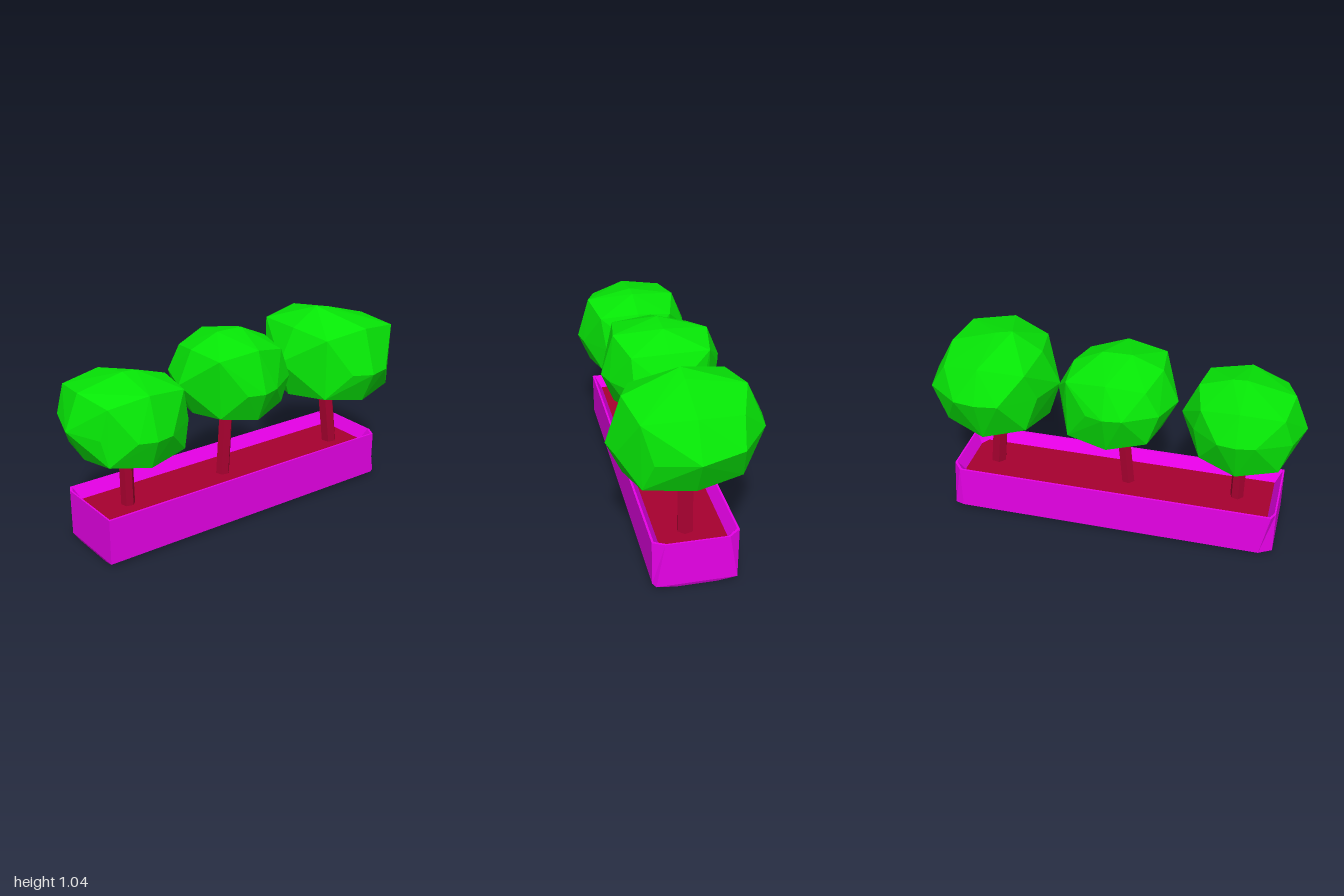
import * as THREE from 'three';
import { ConvexGeometry } from 'three/addons/geometries/ConvexGeometry.js';

const paint = (color) => new THREE.MeshStandardMaterial({ color, flatShading: true });
const MAGENTA = paint(0xe800e8), BROWN = paint(0xa80030), GREEN = paint(0x06e806);

// Joins rings of [x, y, z] corners, listed bottom to top, with optional caps.
function loft(rings, capBottom, capTop) {
  const n = rings[0].length, index = [];
  rings.slice(1).forEach((_, r) => {
    for (let i = 0; i < n; i++) {
      const a = r * n + i, b = r * n + (i + 1) % n;
      index.push(a, b, b + n, a, b + n, a + n);
    }
  });
  const last = (rings.length - 1) * n;
  for (let i = 1; i < n - 1; i++) {
    if (capBottom) index.push(0, i + 1, i);
    if (capTop) index.push(last, last + i, last + i + 1);
  }
  const g = new THREE.BufferGeometry();
  g.setAttribute('position', new THREE.Float32BufferAttribute(rings.flat(2), 3));
  g.setIndex(index);
  const flat = g.toNonIndexed();
  flat.computeVertexNormals();
  return flat;
}

function part(name, geometry, material) {
  const mesh = new THREE.Mesh(geometry, material);
  mesh.name = name;
  return mesh;
}

// Plan of the trough with three clipped corners, scaled about its middle.
function planRing(fx, fz, y, clip = 0.06, leftClip = 0.02) {
  const plan = [[-0.9, 0.2], [0.85, 0.2], [0.88, 0.2 - clip], [0.88, clip - 0.24], [0.83, -0.24],
    [leftClip - 0.9, -0.24], [-0.9, -0.2]];
  return plan.map(([x, z]) => [-0.01 + (x + 0.01) * fx, y, -0.02 + (z + 0.02) * fz]);
}

// Six-sided trunk leaning from its base to its top.
function trunk({ base, top, radius }) {
  const ring = ([x, y, z]) => Array.from({ length: 6 }, (_, i) => {
    const a = (i / 6) * Math.PI * 2 + 0.3;
    return [x + radius * Math.sin(a), y, z + radius * Math.cos(a)];
  });
  return part('trunk', loft([ring(base), ring(top)], true, true), BROWN);
}

// Faceted crown: hull of an upright and a gently tilted level outline, given as
// radii at equal angles, a squarish outline across them and one point per octant.
function crown({ centre, size, upright, level }) {
  const points = [];
  const add = (x, y, z) => points.push(new THREE.Vector3(x, y, z).add(new THREE.Vector3(...centre)));
  const step = Math.PI * 2 / upright.length;
  upright.forEach((r, i) => add(r * Math.cos(i * step), r * Math.sin(i * step), 0));
  level.forEach((r, i) => {
    const z = r * Math.sin(i * step);
    add(r * Math.cos(i * step), -0.09 * z, z);
  });
  const [sx, sy, sz] = size;
  for (let i = 0; i < 8; i++) {
    const a = i * Math.PI / 4, swell = i % 2 ? 1.12 : 1;
    const z = sz * swell * Math.cos(a);
    add(0, sy * swell * Math.sin(a) - (i % 4 ? 0 : 0.09 * z), z);
    const k = 0.64 + 0.04 * Math.sin(i * 2.4 + centre[0] * 5);
    add(i & 1 ? k * sx : -k * sx, i & 2 ? k * sy : -k * sy, i & 4 ? k * sz : -k * sz);
  }
  return part('crown', new ConvexGeometry(points), GREEN);
}

const TREES = [
  {
    name: 'rightTree', base: [-0.67, 0.12, -0.01], top: [-0.675, 0.6, -0.01], radius: 0.037,
    centre: [-0.675, 0.69, 0], size: [0.325, 0.235, 0.31],
    upright: [0.325, 0.3, 0.242, 0.23, 0.31, 0.322, 0.29, 0.245, 0.23, 0.27],
    level: [0.325, 0.316, 0.307, 0.297, 0.285, 0.325, 0.331, 0.305, 0.31, 0.29],
  },
  {
    name: 'middleTree', base: [-0.075, 0.12, -0.015], top: [-0.03, 0.65, -0.025], radius: 0.038,
    centre: [-0.01, 0.765, -0.03], size: [0.32, 0.24, 0.315],
    upright: [0.32, 0.285, 0.25, 0.253, 0.3, 0.325, 0.295, 0.245, 0.237, 0.3],
    level: [0.315, 0.317, 0.302, 0.305, 0.28, 0.32, 0.325, 0.315, 0.3, 0.3],
  },
  {
    name: 'leftTree', base: [0.7, 0.12, 0], top: [0.645, 0.6, -0.012], radius: 0.044,
    centre: [0.65, 0.76, 0], size: [0.345, 0.258, 0.38],
    upright: [0.35, 0.31, 0.247, 0.29, 0.308, 0.34, 0.34, 0.263, 0.265, 0.32],
    level: [0.34, 0.344, 0.372, 0.352, 0.303, 0.33, 0.345, 0.378, 0.38, 0.367],
  },
];

export function createModel() {
  const model = new THREE.Group();
  model.name = 'planterWithTrees';

  // Trough: shallow foot, upright walls, thin rim and sloping inner walls
  const walls = [
    planRing(0.99, 0.65, 0), planRing(1, 0.99, 0.02, 0.015, 0.07), planRing(1, 1, 0.265),
    planRing(0.99, 0.95, 0.265), planRing(0.94, 0.74, 0.18),
  ];
  model.add(part('planter', loft(walls, true, false), MAGENTA));

  // Soil bed
  model.add(part('soil', loft([planRing(0.93, 0.7, 0.15), planRing(0.95, 0.78, 0.203)], true, true), BROWN));

  // Trees
  for (const t of TREES) {
    const tree = new THREE.Group();
    tree.name = t.name;
    tree.add(trunk(t), crown(t));
    model.add(tree);
  }
  return model;
}
